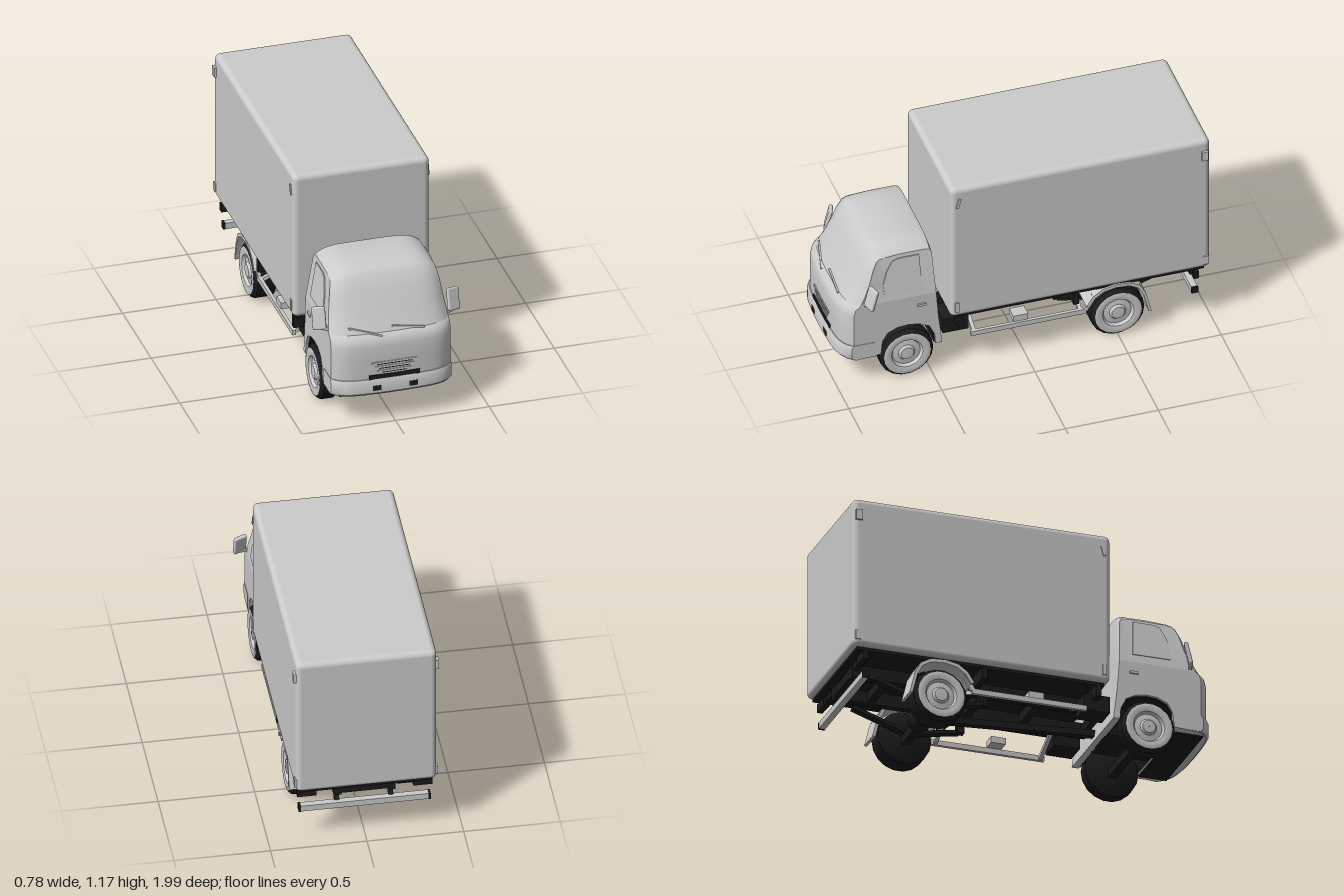
import * as THREE from 'three';
import { toCreasedNormals } from 'three/addons/utils/BufferGeometryUtils.js';
import { RoundedBoxGeometry } from 'three/addons/geometries/RoundedBoxGeometry.js';

const paint = new THREE.MeshStandardMaterial({ color: 0xcccccc });
paint.name = 'light grey paint';
const black = new THREE.MeshStandardMaterial({ color: 0x1c1c1c });
black.name = 'black chassis';

const { clamp, smoothstep } = THREE.MathUtils;

function add(parent, name, geometry, material, x = 0, y = 0, z = 0) {
  const mesh = new THREE.Mesh(geometry, material);
  mesh.name = name;
  mesh.position.set(x, y, z);
  parent.add(mesh);
  return mesh;
}

function box(parent, name, material, size, pos) {
  return add(parent, name, new THREE.BoxGeometry(...size), material, ...pos);
}

// Straight square bar between two points
function bar(parent, name, material, a, b, w, h = w) {
  const from = new THREE.Vector3(...a), to = new THREE.Vector3(...b);
  const mesh = add(parent, name, new THREE.BoxGeometry(w, h, from.distanceTo(to)), material);
  mesh.position.copy(from).lerp(to, 0.5);
  mesh.lookAt(to);
  return mesh;
}

// Side profile of [z, y] points extruded across x, centred on x = 0
function extrudeX(points, width, steps = 1) {
  const shape = new THREE.Shape(points.map(([z, y]) => new THREE.Vector2(z, y)));
  const g = new THREE.ExtrudeGeometry(shape, { depth: width, steps, bevelEnabled: false });
  return g.rotateY(-Math.PI / 2).translate(width / 2, 0, 0);
}

// Curved band following an arch, thickened towards a centre
function archBand(points, centre, k, width) {
  const inner = points.map(([z, y]) => [centre[0] + (z - centre[0]) * k, centre[1] + (y - centre[1]) * k]);
  return extrudeX([...points, ...inner.reverse()], width);
}

// Cab narrows to the roof and rounds off at the front corners and roof edges
function shapeCab(geometry) {
  const p = geometry.attributes.position;
  for (let i = 0; i < p.count; i++) {
    const x = p.getX(i), y = p.getY(i), z = p.getZ(i);
    const s = Math.abs(x / 0.32);
    p.setX(i, x * (1 - Math.max(0, y - 0.5) * 0.44));
    p.setY(i, y - 0.045 * s ** 6 * clamp((y - 0.7) / 0.1, 0, 1));
    p.setZ(i, z - (0.02 * s ** 2 + 0.05 * s ** 8) * smoothstep(z, 0.72, 0.93));
  }
  return toCreasedNormals(geometry, 0.7);
}

function buildCab() {
  const cab = new THREE.Group();
  cab.name = 'cab';
  const arch = [[0.475, 0.17], [0.48, 0.23], [0.51, 0.29], [0.56, 0.315], [0.62, 0.325],
    [0.68, 0.32], [0.735, 0.295], [0.77, 0.25], [0.785, 0.17]];
  const lower = [[0.472, 0.5], [0.46, 0.34], [0.44, 0.17], ...arch, [0.97, 0.16], [0.985, 0.17],
    [0.985, 0.36], [0.985, 0.44], [0.975, 0.48], [0.95, 0.5]];
  const upper = [[0.472, 0.5], [0.95, 0.5], [0.925, 0.545], [0.89, 0.615], [0.85, 0.695], [0.81, 0.765],
    [0.785, 0.785], [0.75, 0.795], [0.65, 0.803], [0.52, 0.803], [0.495, 0.795], [0.485, 0.76]];
  add(cab, 'cabLowerBody', shapeCab(extrudeX(lower, 0.64, 24)), paint);
  add(cab, 'cabUpperBody', shapeCab(extrudeX(upper, 0.64, 24)), paint);
  add(cab, 'wheelArchLiner', archBand(arch, [0.63, 0.17], 0.96, 0.61), black);
  box(cab, 'cabFloor', black, [0.56, 0.008, 0.15], [0, 0.158, 0.865]);

  // Bumper with dark recesses
  const bumper = [[0.85, 0.165], [0.985, 0.165], [1, 0.18], [1, 0.235], [0.99, 0.255], [0.85, 0.255]];
  add(cab, 'frontBumper', shapeCab(extrudeX(bumper, 0.645, 24)), paint);
  box(cab, 'airIntake', black, [0.27, 0.025, 0.008], [0, 0.265, 0.984]);
  for (let i = 0; i < 3; i++) {
    box(cab, 'grilleSlat', paint, [0.18 + i * 0.03, 0.01, 0.014], [0, 0.297 + i * 0.024, 0.981]);
    box(cab, 'grilleGap', black, [0.13 + i * 0.03, 0.005, 0.008], [0, 0.289 + i * 0.024, 0.983]);
  }
  bar(cab, 'wiper', paint, [-0.23, 0.535, 0.925], [-0.06, 0.49, 0.965], 0.009);
  bar(cab, 'wiper', paint, [0, 0.525, 0.943], [0.17, 0.5, 0.95], 0.009);

  // Side window panels, door handles, mirrors
  const pane = [[0.545, 0.545], [0.75, 0.545], [0.755, 0.6], [0.73, 0.68], [0.7, 0.73], [0.665, 0.742], [0.555, 0.742]];
  for (const side of [-1, 1]) {
    const holder = new THREE.Group();
    holder.name = 'doorWindow';
    holder.position.set(side * 0.3145, 0.545, 0);
    holder.rotation.z = side * 0.14;
    add(holder, 'windowPane', extrudeX(pane, 0.006).translate(0, -0.545, 0), paint);
    cab.add(holder);
    box(cab, 'doorHandle', paint, [0.012, 0.014, 0.045], [side * 0.323, 0.44, 0.55]);
    box(cab, 'fogLampRecess', black, [0.045, 0.028, 0.008], [side * 0.097, 0.208, 0.996]);
    const mirror = add(cab, 'mirror', new RoundedBoxGeometry(0.07, 0.12, 0.022, 2, 0.008), paint, side * 0.358, 0.57, 0.832);
    mirror.rotation.set(-0.25, side * 0.35, 0);
    bar(cab, 'mirrorArm', paint, [side * 0.3, 0.51, 0.86], [side * 0.365, 0.525, 0.842], 0.018);
  }
  return cab;
}

function buildWheel(name, side, x, z, width) {
  const wheel = new THREE.Group();
  wheel.name = name;
  // Lathe axis runs outward from the vehicle
  const v = (pts) => pts.map(([r, h]) => new THREE.Vector2(r, h));
  const h = width / 2;
  const tyre = new THREE.LatheGeometry(v([[0.001, -h], [0.12, -h], [0.145, -h + 0.015], [0.145, h - 0.02], [0.126, h]]), 18);
  const face = new THREE.LatheGeometry(v([[0.126, h], [0.11, h + 0.004], [0.085, h - 0.002], [0.075, h - 0.018],
    [0.045, h - 0.014], [0.035, h - 0.002], [0.001, h]]), 18);
  add(wheel, 'tyre', toCreasedNormals(tyre, 0.7), black);
  add(wheel, 'wheelFace', toCreasedNormals(face, 0.7), paint);
  wheel.position.set(side * x, 0.147, z);
  wheel.rotation.z = -side * Math.PI / 2;
  return wheel;
}

function buildChassis() {
  const chassis = new THREE.Group();
  chassis.name = 'chassis';
  for (const side of [-1, 1]) {
    box(chassis, 'frameRail', black, [0.04, 0.07, 1.7], [side * 0.14, 0.295, -0.07]);
    // Side guards with rising ends and brackets
    bar(chassis, 'sideGuard', paint, [side * 0.325, 0.195, 0.29], [side * 0.325, 0.195, -0.33], 0.018, 0.028);
    bar(chassis, 'sideGuardEnd', paint, [side * 0.325, 0.2, -0.325], [side * 0.325, 0.285, -0.37], 0.018, 0.024);
    box(chassis, 'sideStep', paint, [0.07, 0.035, 0.08], [side * 0.29, 0.23, 0.02]);
    for (const z of [0.27, -0.3]) bar(chassis, 'guardBracket', paint, [side * 0.32, 0.195, z], [side * 0.15, 0.27, z], 0.02);
    for (const z of [0.35, -0.27]) box(chassis, 'floorBracket', black, [0.2, 0.07, 0.03], [side * 0.25, 0.3, z]);
    box(chassis, 'sideTank', black, [0.13, 0.09, 0.14], [side * 0.23, 0.25, 0.36]);
    bar(chassis, 'leafSpring', black, [side * 0.18, 0.2, -0.22], [side * 0.18, 0.15, -0.5], 0.04, 0.02);
    bar(chassis, 'leafSpring', black, [side * 0.18, 0.15, -0.5], [side * 0.18, 0.25, -0.8], 0.04, 0.02);
    box(chassis, 'springHanger', black, [0.035, 0.09, 0.04], [side * 0.17, 0.235, -0.22]);
    // Rear mudguards with flaps
    const fender = [[-0.325, 0.235], [-0.36, 0.29], [-0.41, 0.325], [-0.48, 0.34], [-0.56, 0.335],
      [-0.615, 0.305], [-0.645, 0.25], [-0.675, 0.13]];
    add(chassis, 'rearMudguard', toCreasedNormals(archBand(fender, [-0.5, 0.13], 0.91, 0.13), 0.6), paint, side * 0.285);
    box(chassis, 'rearLight', black, [0.1, 0.045, 0.03], [side * 0.3, 0.3, -0.915]);
    bar(chassis, 'bumperBracket', black, [side * 0.14, 0.27, -0.84], [side * 0.14, 0.2, -0.9], 0.025);
    box(chassis, 'bumperEndCap', black, [0.012, 0.036, 0.036], [side * 0.336, 0.198, -0.91]);
  }
  box(chassis, 'rearBumper', paint, [0.66, 0.034, 0.034], [0, 0.198, -0.91]);
  for (const z of [0.44, 0.1, -0.2, -0.72, -0.9]) box(chassis, 'crossMember', black, [0.28, 0.05, 0.04], [0, 0.295, z]);
  box(chassis, 'rearCrossBeam', black, [0.66, 0.04, 0.03], [0, 0.315, -0.9]);
  box(chassis, 'engine', black, [0.24, 0.14, 0.3], [0, 0.24, 0.62]);
  bar(chassis, 'driveShaft', black, [0, 0.22, 0.5], [0, 0.16, -0.5], 0.035);
  add(chassis, 'differential', new THREE.SphereGeometry(0.065, 12, 8), black, 0, 0.15, -0.5);
  for (const z of [0.63, -0.5]) bar(chassis, 'axle', black, [-0.26, 0.125, z], [0.26, 0.125, z], 0.045);
  return chassis;
}

function buildCargoBox() {
  const cargo = new THREE.Group();
  cargo.name = 'cargoBox';
  add(cargo, 'cargoBody', new RoundedBoxGeometry(0.73, 0.825, 1.395, 4, 0.03), paint, 0, 0.7575, -0.288);
  box(cargo, 'cargoFloor', black, [0.68, 0.02, 1.34], [0, 0.338, -0.288]);
  for (const side of [-1, 1]) {
    box(cargo, 'topRearFitting', paint, [0.02, 0.055, 0.035], [side * 0.367, 1.075, -0.955]);
    box(cargo, 'bottomRearFitting', paint, [0.016, 0.05, 0.03], [side * 0.363, 0.4, -0.96]);
    bar(cargo, 'frontFitting', paint, [side * 0.364, 1.105, 0.36], [side * 0.364, 1.05, 0.375], 0.014);
    box(cargo, 'lowerFrontFitting', paint, [0.014, 0.06, 0.02], [side * 0.364, 0.41, 0.375]);
  }
  return cargo;
}

export function createModel() {
  const truck = new THREE.Group();
  truck.name = 'boxTruck';
  truck.add(buildCab(), buildChassis(), buildCargoBox());
  for (const side of [-1, 1]) {
    truck.add(buildWheel('frontWheel', side, 0.28, 0.63, 0.1));
    truck.add(buildWheel('rearWheel', side, 0.275, -0.5, 0.13));
  }
  return truck;
}
